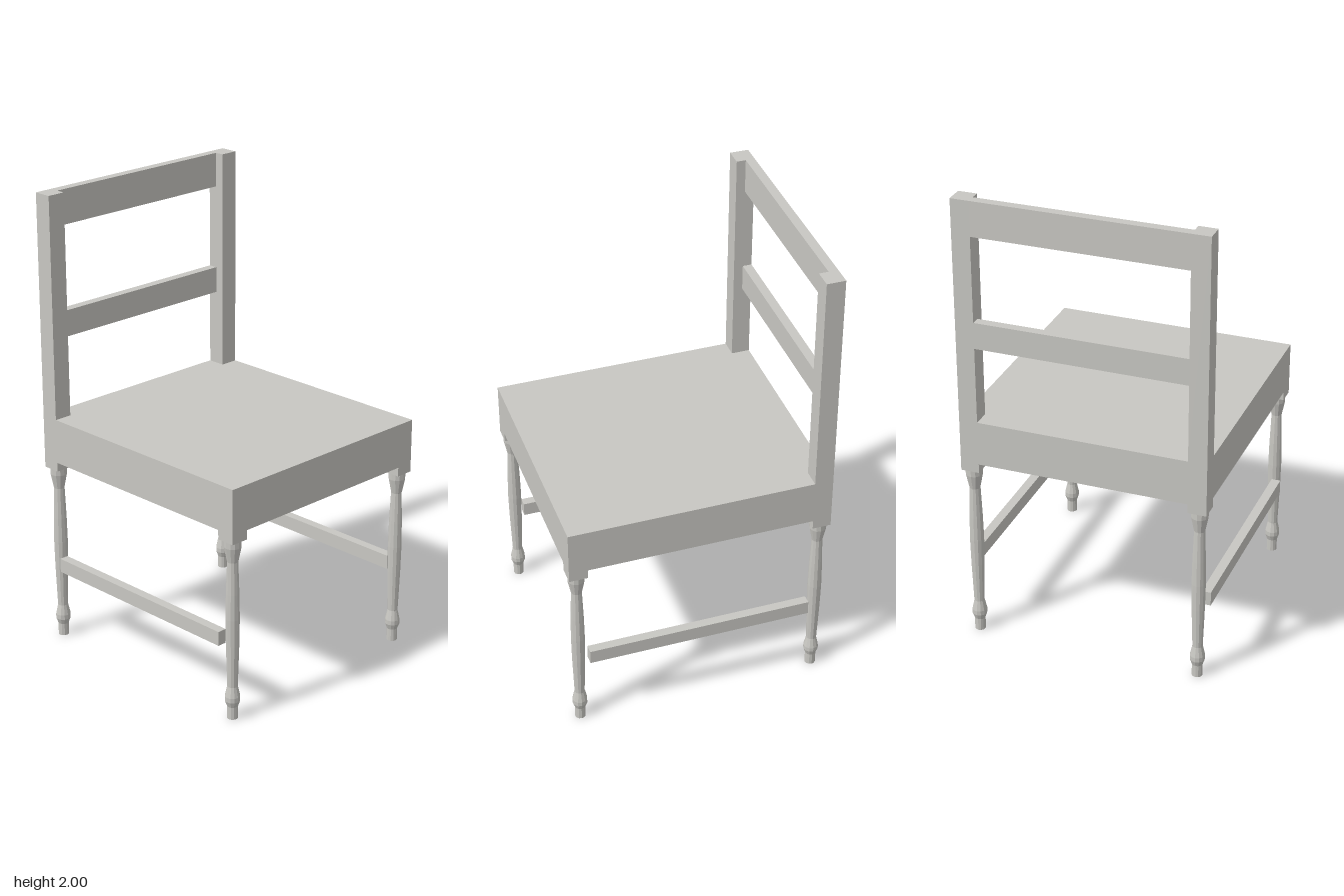
import * as THREE from 'three';

export function createModel() {
  const group = new THREE.Group();
  const wood = new THREE.MeshStandardMaterial({ color: 0xc8c7c2 });
  wood.name = 'pale grey wood';
  const legWood = wood.clone();
  legWood.flatShading = true;

  const X = 0.533, Z = 0.567;   // half width and half depth
  const POST = 0.08, RAIL = 0.04; // post square and board thickness
  const SEAT = 1.03, UNDER = 0.99, APRON = 0.835, BLOCK = 0.795;

  // box given by its lower and upper corners
  function box(name, x0, x1, y0, y1, z0, z1) {
    const mesh = new THREE.Mesh(new THREE.BoxGeometry(x1 - x0, y1 - y0, z1 - z0), wood);
    mesh.position.set((x0 + x1) / 2, (y0 + y1) / 2, (z0 + z1) / 2);
    mesh.name = name;
    group.add(mesh);
  }
  // same box on the left (+x) or right (-x) side
  function sideBox(name, s, x0, x1, ...rest) {
    if (s > 0) box(name, x0, x1, ...rest);
    else box(name, -x1, -x0, ...rest);
  }

  // seat board and front and back aprons
  const inner = X - POST;
  box('seat', -X, X, UNDER, SEAT, -Z, Z);
  box('frontApron', -inner, inner, APRON, UNDER, Z - RAIL, Z);
  box('backApron', -inner, inner, APRON, UNDER, -Z, -Z + RAIL);

  // back rails, flush with the rear
  box('topRail', -inner, inner, 1.85, 2, -Z, -Z + RAIL);
  box('middleRail', -inner, inner, 1.365, 1.48, -Z, -Z + RAIL);

  // turned leg outline: radius, height
  const profile = [
    [0, 0], [0.023, 0], [0.023, 0.055], [0.032, 0.08], [0.032, 0.1], [0.022, 0.145],
    [0.028, 0.33], [0.03, 0.45], [0.028, 0.56], [0.023, 0.7], [0.036, 0.765], [0.036, BLOCK],
  ].map(([r, y]) => new THREE.Vector2(r, y));
  const legGeometry = new THREE.LatheGeometry(profile, 12);

  for (const s of [1, -1]) {
    const side = s > 0 ? 'left' : 'right';
    sideBox(side + 'Apron', s, X - RAIL, X, APRON, UNDER, -Z + POST, Z - POST);
    sideBox(side + 'Stretcher', s, X - RAIL, X, 0.325, 0.387, -Z + POST, Z - POST);
    sideBox(side + 'BackPost', s, inner, X, SEAT, 2, -Z, -Z + POST);
    for (const f of [1, -1]) {
      const end = f > 0 ? 'Front' : 'Back';
      const z = f * (Z - POST / 2);
      sideBox(side + end + 'CornerBlock', s, inner, X, BLOCK, UNDER, z - POST / 2, z + POST / 2);
      const leg = new THREE.Mesh(legGeometry, legWood);
      leg.position.set(s * (X - POST / 2), 0, z);
      leg.name = side + end + 'Leg';
      group.add(leg);
    }
  }
  return group;
}
